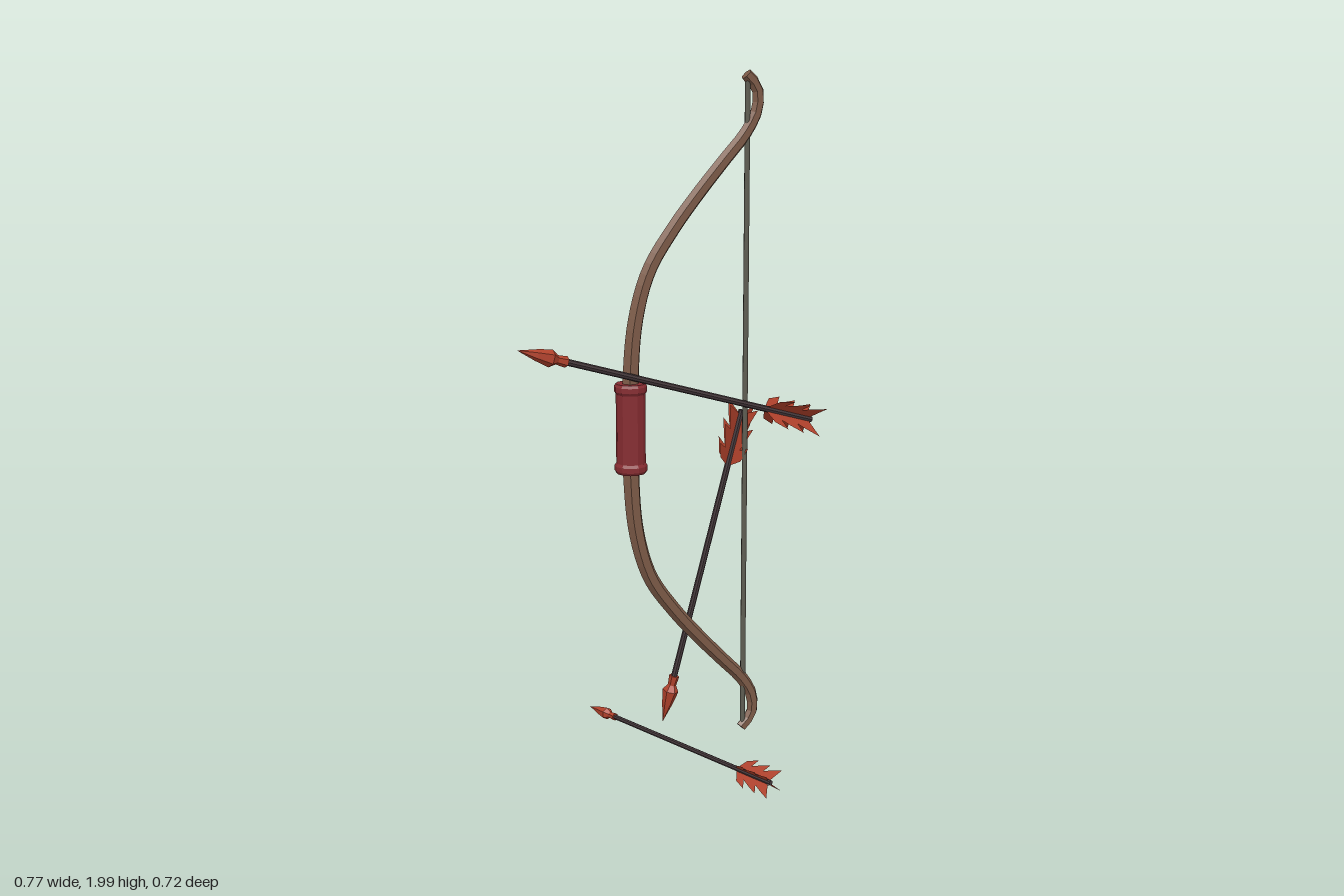
import * as THREE from 'three';

const mat = (name, color) => new THREE.MeshStandardMaterial({ name, color });

// Faceted copy of a geometry
function facet(geo) {
  const g = geo.index ? geo.toNonIndexed() : geo;
  g.computeVertexNormals();
  return g;
}

function add(parent, name, geo, material) {
  const mesh = new THREE.Mesh(geo, material);
  mesh.name = name;
  parent.add(mesh);
  return mesh;
}

// Hexagonal limb swept along a curve in the xy plane, tapering to both tips
function sweepBow(curve, midY, steps = 72, sides = 6) {
  const pos = [], idx = [];
  for (let i = 0; i <= steps; i++) {
    const p = curve.getPointAt(i / steps), t = curve.getTangentAt(i / steps);
    const k = Math.min(1, Math.abs(p.y - midY));
    const ru = 0.027 - 0.009 * k, rz = 0.026 - 0.012 * k;
    for (let j = 0; j < sides; j++) {
      const a = (j / sides) * Math.PI * 2, c = Math.cos(a) * ru;
      pos.push(p.x + t.y * c, p.y - t.x * c, -Math.sin(a) * rz);
    }
  }
  for (let i = 0; i < steps; i++) {
    for (let j = 0; j < sides; j++) {
      const a = i * sides + j, b = i * sides + ((j + 1) % sides);
      idx.push(a, b, b + sides, a, b + sides, a + sides);
    }
  }
  const end = steps * sides;
  for (let j = 1; j < sides - 1; j++) {
    idx.push(0, j + 1, j, end, end + j, end + j + 1);
  }
  const g = new THREE.BufferGeometry();
  g.setAttribute('position', new THREE.Float32BufferAttribute(pos, 3));
  g.setIndex(idx);
  return facet(g);
}

export function createModel() {
  const model = new THREE.Group();
  model.name = 'bowAndArrows';
  const wood = mat('brown wood', 0x7d5b48);
  const wrap = mat('dark red wrap', 0x862c31);
  const red = mat('rust red', 0xb0412b);
  const redFeather = red.clone();
  redFeather.side = THREE.DoubleSide;
  redFeather.name = 'rust red feather';
  const dark = mat('dark shaft', 0x46393c);
  const cord = mat('grey cord', 0x5e5d52);

  // Bow, built in its own plane with the grip at x = 0
  const bow = new THREE.Group();
  bow.name = 'bow';
  bow.position.set(-0.13, 0, 0.08);
  bow.rotation.y = 0.707;
  model.add(bow);

  const midY = 1.003;
  const upper = [
    [0, 0.13], [0.017, 0.31], [0.06, 0.447], [0.138, 0.56], [0.224, 0.66],
    [0.309, 0.75], [0.375, 0.82], [0.412, 0.885], [0.411, 0.945], [0.375, 0.982],
  ];
  const path = [
    ...upper.slice().reverse().map(([u, h]) => new THREE.Vector3(u, midY - h, 0)),
    ...upper.map(([u, h]) => new THREE.Vector3(u, midY + h, 0)),
  ];
  add(bow, 'bowLimbs', sweepBow(new THREE.CatmullRomCurve3(path), midY), wood);

  const gripProfile = [
    [0, -0.13], [0.042, -0.13], [0.047, -0.122], [0.047, -0.108], [0.042, -0.1],
    [0.042, 0.1], [0.047, 0.108], [0.047, 0.122], [0.042, 0.13], [0, 0.13],
  ].map(([r, y]) => new THREE.Vector2(r, y));
  add(bow, 'grip', facet(new THREE.LatheGeometry(gripProfile, 12)), wrap).position.y = 1.007;

  add(bow, 'bowString', new THREE.CylinderGeometry(0.008, 0.008, 1.94, 8), cord)
    .position.set(0.38, midY, 0);

  // Shared arrow parts, tail at y = 0 and point at y = len
  const len = 1.02;
  const headGeo = facet(new THREE.LatheGeometry([
    [0, -0.155], [0.016, -0.155], [0.013, -0.125], [0.025, -0.105], [0.016, -0.06], [0, 0],
  ].map(([r, y]) => new THREE.Vector2(r, y)), 6));
  const shaftGeo = facet(new THREE.CylinderGeometry(0.0095, 0.0095, len - 0.14, 8));

  // Vane of three swept-back lobes
  const h = 0.06;
  const vane = new THREE.Shape();
  vane.moveTo(0.005, 0.175);
  for (const y of [0.175, 0.115, 0.055]) {
    vane.lineTo(h * 0.72, y - 0.026);
    vane.lineTo(h, y - 0.072);
    vane.lineTo(h * 0.5, y - 0.056);
  }
  vane.lineTo(0.005, 0.012);
  const vaneGeo = new THREE.ShapeGeometry(vane);

  function arrow(name, tip, tail) {
    const g = new THREE.Group();
    g.name = name;
    const from = new THREE.Vector3(...tail);
    const dir = new THREE.Vector3(...tip).sub(from);
    const s = dir.length() / len;
    dir.normalize();
    const side = new THREE.Vector3(0, 1, 0).cross(dir).normalize();
    const up = side.clone().cross(dir);
    g.quaternion.setFromRotationMatrix(new THREE.Matrix4().makeBasis(side, dir, up));
    g.position.copy(from);
    g.scale.setScalar(s);
    add(g, 'shaft', shaftGeo, dark).position.y = (len - 0.14) / 2;
    add(g, 'arrowHead', headGeo, red).position.y = len;
    for (let i = 0; i < 4; i++) {
      add(g, 'feather', vaneGeo, redFeather).rotation.y = Math.PI / 4 + i * Math.PI / 2;
    }
    model.add(g);
  }
  arrow('crossingArrow', [-0.378, 1.272, 0.355], [0.337, 0.965, -0.312]);
  arrow('groundArrow', [-0.33, 0.036, -0.198], [0.305, 0.036, 0.247]);
  arrow('leaningArrow', [-0.085, 0.03, -0.138], [0.145, 1.012, -0.193]);

  return model;
}
